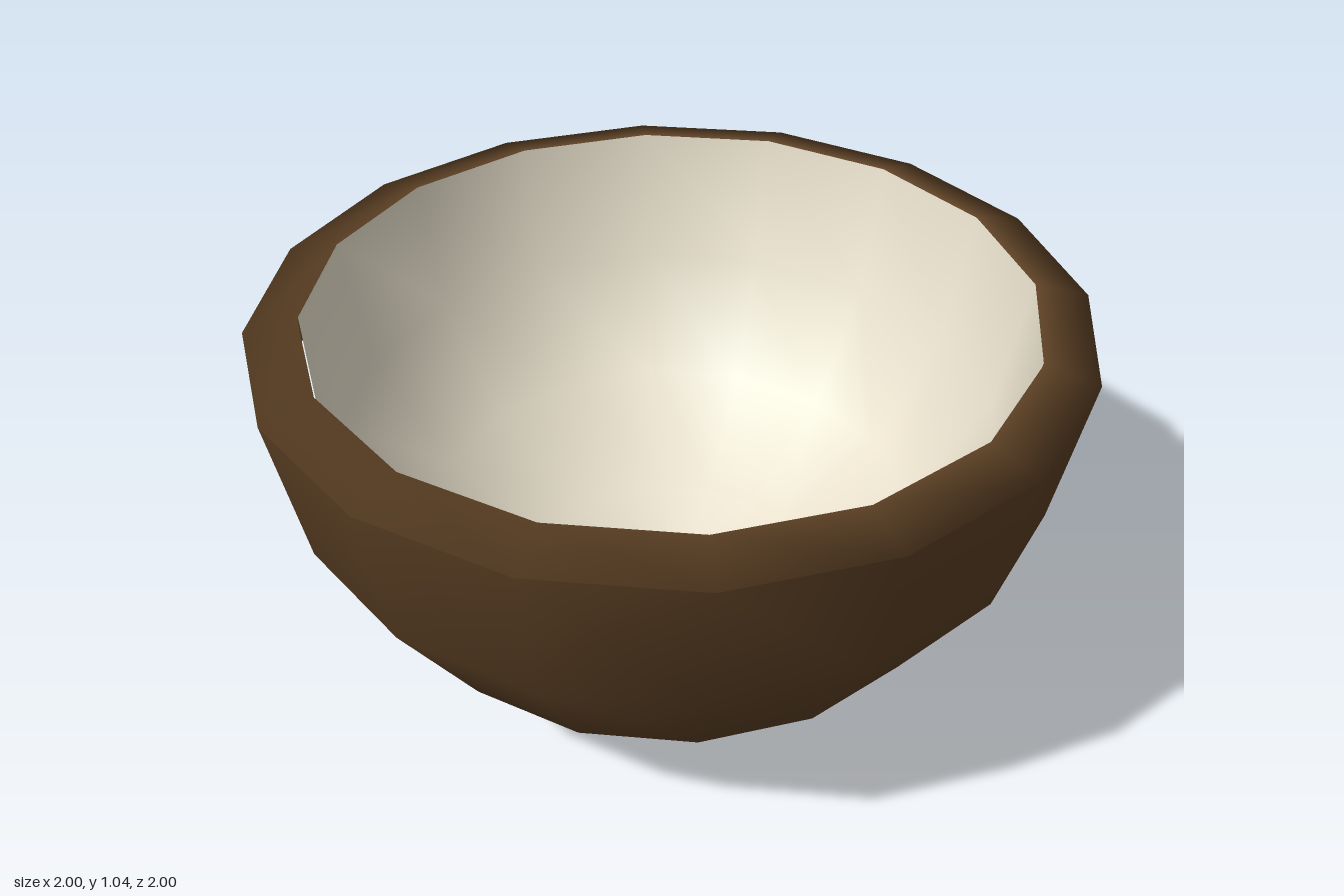
import * as THREE from 'three';

const SIDES = 16;

// Quarter-circle profile, listed from the pole up to the open edge
function bowlProfile(radius, centreY, rows = 4) {
  const points = [];
  for (let i = 0; i <= rows; i++) {
    const a = (i / rows) * Math.PI / 2;
    points.push(new THREE.Vector2(radius * Math.sin(a), centreY - radius * Math.cos(a)));
  }
  return points;
}

function lathe(name, points, material) {
  const geometry = new THREE.LatheGeometry(points, SIDES);
  geometry.rotateY(Math.PI / 2);
  const mesh = new THREE.Mesh(geometry, material);
  mesh.name = name;
  return mesh;
}

export function createModel() {
  const huskBrown = new THREE.MeshStandardMaterial({ color: 0x5c4024 });
  huskBrown.name = 'huskBrown';
  const creamWhite = new THREE.MeshStandardMaterial({ color: 0xe8e0cc });
  creamWhite.name = 'creamWhite';

  const model = new THREE.Group();
  model.name = 'halfShellBowl';

  // Outer half shell
  model.add(lathe('outerShell', bowlProfile(1, 1), huskBrown));

  // Three-sided rim ring, sloping up towards the opening
  const rim = [[0.87, 0.963], [1, 1], [0.87, 1.037], [0.87, 0.963]];
  model.add(lathe('rim', rim.map(([r, y]) => new THREE.Vector2(r, y)), huskBrown));

  // Pale lining, profile reversed so it faces inwards
  model.add(lathe('innerLining', bowlProfile(0.867, 1.036).reverse(), creamWhite));

  return model;
}
